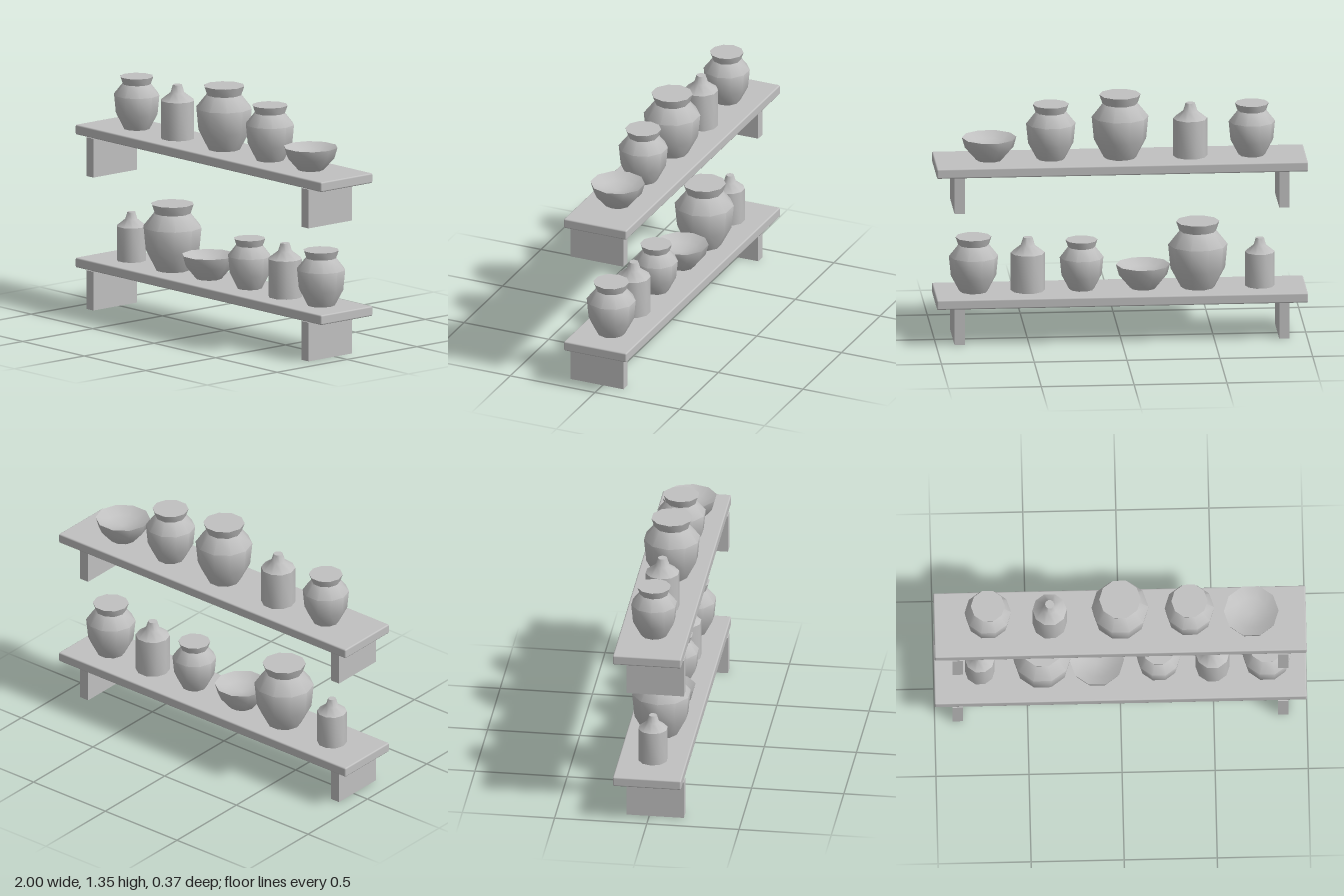
import * as THREE from 'three';
import { toCreasedNormals } from 'three/addons/utils/BufferGeometryUtils.js';
import { RoundedBoxGeometry } from 'three/addons/geometries/RoundedBoxGeometry.js';

// Profiles from base to top: [share of radius, share of height]
const PROFILES = {
  jar: [[0, 0], [0.57, 0], [0.92, 0.29], [1, 0.65], [0.62, 0.86], [0.73, 1], [0, 1]],
  bottle: [[0, 0], [1, 0], [1, 0.71], [0.42, 0.85], [0.27, 1], [0, 1]],
  bowl: [[0, 0], [0.48, 0], [0.89, 0.55], [1, 1], [0.6, 0.75], [0, 0.6]],
};

// Each shelf: top height, and its vessels as [kind, x, radius, height]
const SHELVES = [
  {
    name: 'lowerShelf', top: 0.267,
    vessels: [
      ['bottle', -0.753, 0.08, 0.265],
      ['jar', -0.419, 0.16, 0.363],
      ['bowl', -0.124, 0.146, 0.13],
      ['jar', 0.207, 0.118, 0.273],
      ['bottle', 0.497, 0.092, 0.293],
      ['jar', 0.789, 0.133, 0.301],
    ],
  },
  {
    name: 'upperShelf', top: 0.997,
    vessels: [
      ['jar', -0.71, 0.125, 0.286],
      ['bottle', -0.378, 0.092, 0.293],
      ['jar', 0, 0.153, 0.348],
      ['jar', 0.373, 0.133, 0.301],
      ['bowl', 0.705, 0.147, 0.124],
    ],
  },
];

const BOARD = 0.054, BRACKET = 0.213;

export function createModel() {
  const model = new THREE.Group();
  const grey = new THREE.MeshStandardMaterial({ color: 0xc0c0c0 });
  grey.name = 'plainGrey';

  const add = (parent, name, geometry, x, y, z) => {
    const mesh = new THREE.Mesh(geometry, grey);
    mesh.name = name;
    mesh.position.set(x, y, z);
    parent.add(mesh);
  };

  // Ten-sided turned vessel with a corner on each side of the x axis
  const vessel = (kind, radius, height) => {
    const points = PROFILES[kind].map(([r, h]) => new THREE.Vector2(r * radius, h * height));
    return toCreasedNormals(new THREE.LatheGeometry(points, 10, Math.PI / 2), 0.87);
  };

  for (const { name, top, vessels } of SHELVES) {
    const shelf = new THREE.Group();
    shelf.name = name;
    model.add(shelf);

    // Board with softened edges
    add(shelf, 'board', new RoundedBoxGeometry(2, BOARD, 0.37, 2, 0.008), 0, top - BOARD / 2, 0);

    // Brackets, flush with the front edge
    for (const x of [-0.876, 0.873]) {
      add(shelf, 'bracket', new THREE.BoxGeometry(0.055, BRACKET, 0.311),
        x, top - BOARD - BRACKET / 2, 0.0325);
    }

    // Pottery
    for (const [kind, x, radius, height] of vessels) {
      add(shelf, kind, vessel(kind, radius, height), x, top, 0);
    }
  }
  return model;
}
